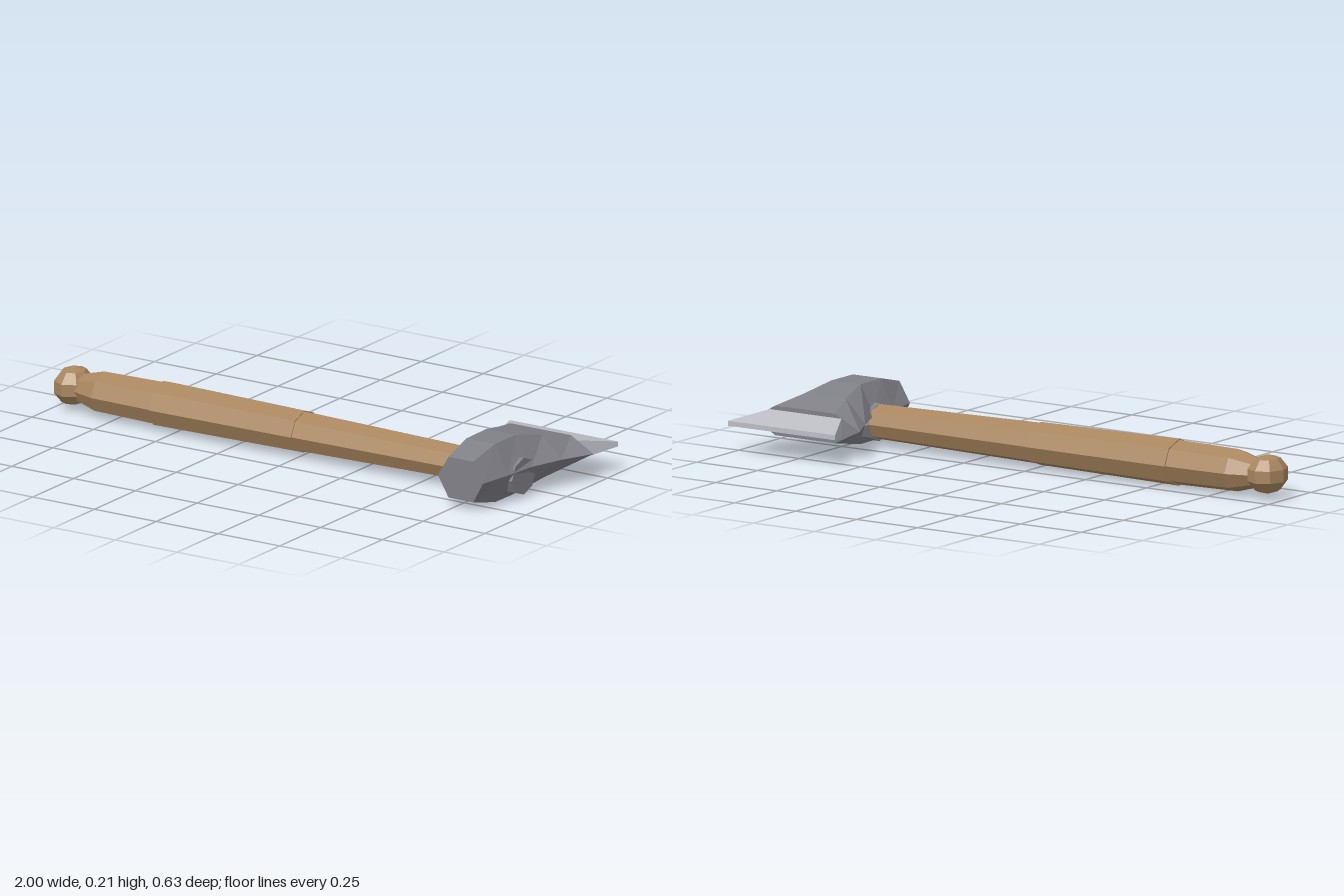
import * as THREE from 'three';

const material = (color) => new THREE.MeshStandardMaterial({ color, flatShading: true });

// Closed solid through matching cross-sections, listed from front (+z) to back,
// each one counter-clockwise as seen from the front.
function loft(sections) {
  const n = sections[0].length;
  const index = [];
  for (let s = 0; s < sections.length - 1; s++) {
    for (let i = 0; i < n; i++) {
      const j = (i + 1) % n;
      const a = s * n + i, b = s * n + j, c = b + n, d = a + n;
      index.push(a, d, c, a, c, b);
    }
  }
  const last = (sections.length - 1) * n;
  for (let i = 1; i < n - 1; i++) {
    index.push(0, i, i + 1, last, last + i + 1, last + i);
  }
  const geometry = new THREE.BufferGeometry();
  geometry.setAttribute('position', new THREE.Float32BufferAttribute(sections.flat(2), 3));
  geometry.setIndex(index);
  const flat = geometry.toNonIndexed();
  flat.computeVertexNormals();
  return flat;
}

// Eight-sided closed bar along x, from [x, radius] rings, slightly wider in z
function octagonBar(rings) {
  const first = rings[0], last = rings[rings.length - 1];
  const profile = [[first[0], 0], ...rings, [last[0], 0]].map(([x, r]) => new THREE.Vector2(r, x));
  const geometry = new THREE.LatheGeometry(profile, 8);
  geometry.rotateZ(-Math.PI / 2);
  geometry.scale(1, 1, 1.12);
  return geometry;
}

export function createModel() {
  const group = new THREE.Group();
  group.name = 'hatchet';
  const wood = material(0xa9865f);
  const steel = material(0x808087);
  const edgeSteel = material(0xbcbec4);

  const add = (name, geometry, mat, x = 0, y = 0, z = 0) => {
    const mesh = new THREE.Mesh(geometry, mat);
    mesh.name = name;
    mesh.position.set(x, y, z);
    group.add(mesh);
    return mesh;
  };

  // Handle in three tapered lengths with small steps between them
  const axisY = 0.086, axisZ = 0.094;
  const lengths = {
    handleGrip: [[-0.9, 0.048], [-0.81, 0.073], [-0.57, 0.077]],
    handleMiddle: [[-0.57, 0.081], [0, 0.074]],
    handleNeck: [[0, 0.071], [0.67, 0.06]],
  };
  for (const [name, rings] of Object.entries(lengths)) {
    add(name, octagonBar(rings), wood, 0, axisY, axisZ);
  }

  // Faceted knob at the end of the handle
  const knob = add('knob', new THREE.SphereGeometry(0.068, 8, 5), wood, -0.935, axisY + 0.002, axisZ - 0.004);
  knob.scale.set(1, 1, 1.2);

  // Steel socket passing through the head
  add('socket', octagonBar([[0.66, 0.065], [0.89, 0.065]]), steel, 0, axisY - 0.003, axisZ + 0.002);

  // Hexagonal head: z, middle y, half height, outer x range, flat x range
  const stations = [
    [0.315, 0.109, 0.072, 0.687, 0.869, 0.73, 0.83],
    [0.19, 0.109, 0.103, 0.672, 0.888, 0.72, 0.835],
    [0.065, 0.109, 0.103, 0.662, 0.9, 0.717, 0.837],
    [-0.06, 0.108, 0.077, 0.612, 0.938, 0.692, 0.862],
    [-0.178, 0.107, 0.051, 0.553, 0.99, 0.655, 0.9],
  ];
  add('head', loft(stations.map(([z, y, h, x0, x1, f0, f1]) => [
    [x1, y, z], [f1, y + h, z], [f0, y + h, z],
    [x0, y, z], [f0, y - h, z], [f1, y - h, z],
  ])), steel);

  // Flared wedge blade set into the back of the head
  const rectangle = (x0, x1, y0, y1, z) => [[x0, y0, z], [x1, y0, z], [x1, y1, z], [x0, y1, z]];
  add('blade', loft([
    rectangle(0.635, 0.915, 0.071, 0.146, -0.165),
    rectangle(0.56, 1, 0.1, 0.117, -0.315),
  ]), edgeSteel);

  return group;
}
